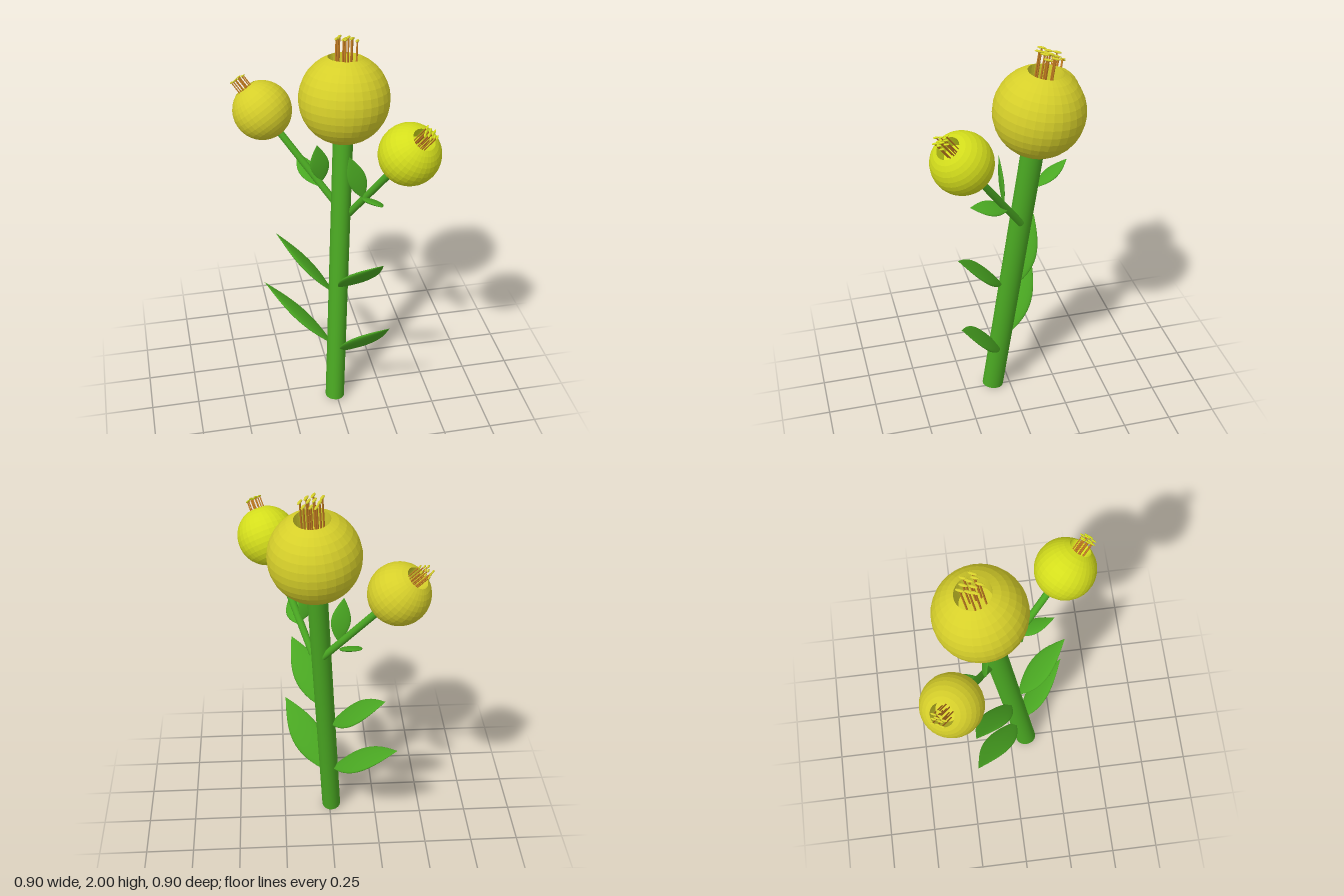
import * as THREE from 'three';

const V = (a) => new THREE.Vector3(...a);
const UP = new THREE.Vector3(0, 1, 0);
const mat = (color, extra = {}) => {
  const m = new THREE.MeshStandardMaterial({ color, ...extra });
  return m;
};

const green = mat(0x4aa822);
const gold = mat(0xd6cf2a, { flatShading: true });
const lime = mat(0xd4de1c, { flatShading: true });
const orange = mat(0xc07a20);

// Straight round stalk between two points, slightly oval if rz differs
function stalk(name, from, to, rx, rz = rx) {
  const a = V(from), d = V(to).sub(a);
  const mesh = new THREE.Mesh(new THREE.CylinderGeometry(1, 1, 1, 24), green);
  mesh.name = name;
  mesh.scale.set(rx, d.length(), rz);
  mesh.position.copy(a).addScaledVector(d, 0.5);
  mesh.quaternion.setFromUnitVectors(UP, d.normalize());
  return mesh;
}

// Lens-shaped leaf of unit length, pointed at both ends
const leafProfile = [];
for (let i = 0; i <= 16; i++) {
  const t = i / 16;
  leafProfile.push(new THREE.Vector2(i % 16 ? Math.sin(Math.PI * Math.pow(t, 0.9)) : 0, t));
}
const leafGeometry = new THREE.LatheGeometry(leafProfile, 20);

function leaf(name, from, to, across, halfWidth, halfThick) {
  const a = V(from), along = V(to).sub(a);
  const length = along.length();
  along.normalize();
  const w = V(across);
  w.addScaledVector(along, -w.dot(along)).normalize();
  const n = new THREE.Vector3().crossVectors(w, along);
  const mesh = new THREE.Mesh(leafGeometry, green);
  mesh.name = name;
  mesh.position.copy(a);
  mesh.quaternion.setFromRotationMatrix(new THREE.Matrix4().makeBasis(w, along, n));
  mesh.scale.set(halfWidth, length, halfThick);
  return mesh;
}

// Unit ball with a round cavity in its top
const RIM = 0.387;
const ballProfile = [];
const end = Math.PI - Math.asin(RIM);
for (let i = 0; i <= 15; i++) {
  const t = (end * i) / 15;
  ballProfile.push(new THREE.Vector2(Math.sin(t), -Math.cos(t)));
}
ballProfile.push(new THREE.Vector2(RIM * 0.92, 0.5), new THREE.Vector2(0, 0.5));
const ballGeometry = new THREE.LatheGeometry(ballProfile, 32);
const rodGeometry = new THREE.CylinderGeometry(0.02, 0.02, 1, 8);
const tipGeometry = new THREE.SphereGeometry(1, 10, 6);

// Ball flower with a cluster of stamens standing in the cavity
function flower(name, center, axis, radius, material) {
  const g = new THREE.Group();
  g.name = name;
  const ball = new THREE.Mesh(ballGeometry, material);
  ball.name = 'flowerBall';
  g.add(ball);
  for (let i = 0; i < 10; i++) {
    const r = 0.26 * Math.sqrt((i + 0.4) / 10), a = i * 2.4;
    const x = r * Math.cos(a), z = r * Math.sin(a);
    const top = 1.35 - 0.03 * (i % 3);
    const rod = new THREE.Mesh(rodGeometry, orange);
    rod.name = 'stamen';
    rod.scale.y = top - 0.5;
    rod.position.set(x, (top + 0.5) / 2, z);
    const tip = new THREE.Mesh(tipGeometry, material);
    tip.name = 'stamenTip';
    tip.position.set(x, top, z);
    tip.scale.set(0.1, 0.025, 0.035);
    tip.rotation.y = 1.1;
    g.add(rod, tip);
  }
  g.position.copy(V(center));
  g.quaternion.setFromUnitVectors(UP, V(axis).normalize());
  g.scale.setScalar(radius);
  return g;
}

export function createModel() {
  const root = new THREE.Group();
  root.name = 'plant';

  // Main stem and two side stalks, each ending in a ball flower
  const shoots = [
    ['main', [-0.01, 0.007, 0.093], [0.08, 1.69, -0.125], 0.05, 0.057, 0.225, gold],
    ['left', [0.09, 1.09, -0.035], [0.3, 1.59, 0.3], 0.018, 0.018, 0.149, lime],
    ['right', [0.04, 1.11, -0.09], [-0.3, 1.58, -0.3], 0.018, 0.018, 0.149, gold],
  ];
  for (const [name, from, to, rx, rz, radius, material] of shoots) {
    const axis = V(to).sub(V(from)).normalize();
    const stop = V(to).addScaledVector(axis, -radius * 0.8).toArray();
    root.add(stalk(name + 'Stem', from, stop, rx, rz));
    root.add(flower(name + 'Flower', to, axis.toArray(), radius, material));
  }

  // Large leaves low on the stem
  const X = [1, 0, 0], Z = [0, 0, 1];
  root.add(
    leaf('lowerFrontLeaf', [0.02, 0.27, 0.055], [0.23, 0.59, 0.31], X, 0.082, 0.016),
    leaf('lowerBackLeaf', [-0.01, 0.31, 0.03], [-0.335, 0.595, -0.21], Z, 0.082, 0.016),
    leaf('upperFrontLeaf', [0.02, 0.69, 0.045], [0.19, 0.985, 0.31], X, 0.082, 0.016),
    leaf('upperBackLeaf', [0.0, 0.63, 0.0], [-0.265, 0.905, -0.205], Z, 0.082, 0.016),
  );

  // Small leaves on the side stalks
  root.add(
    leaf('leftStalkUprightLeaf', [0.14, 1.23, 0.065], [0.065, 1.475, 0.07], X, 0.046, 0.009),
    leaf('leftStalkLowLeaf', [0.15, 1.22, 0.04], [0.19, 1.28, 0.245], [1, -0.35, 0], 0.05, 0.012),
    leaf('rightStalkUprightLeaf', [-0.03, 1.23, -0.14], [-0.06, 1.457, -0.11], X, 0.048, 0.009),
    leaf('rightStalkLowLeaf', [-0.05, 1.2, -0.15], [-0.125, 1.3, -0.335], [1, -0.1, 0], 0.05, 0.012),
  );
  return root;
}
